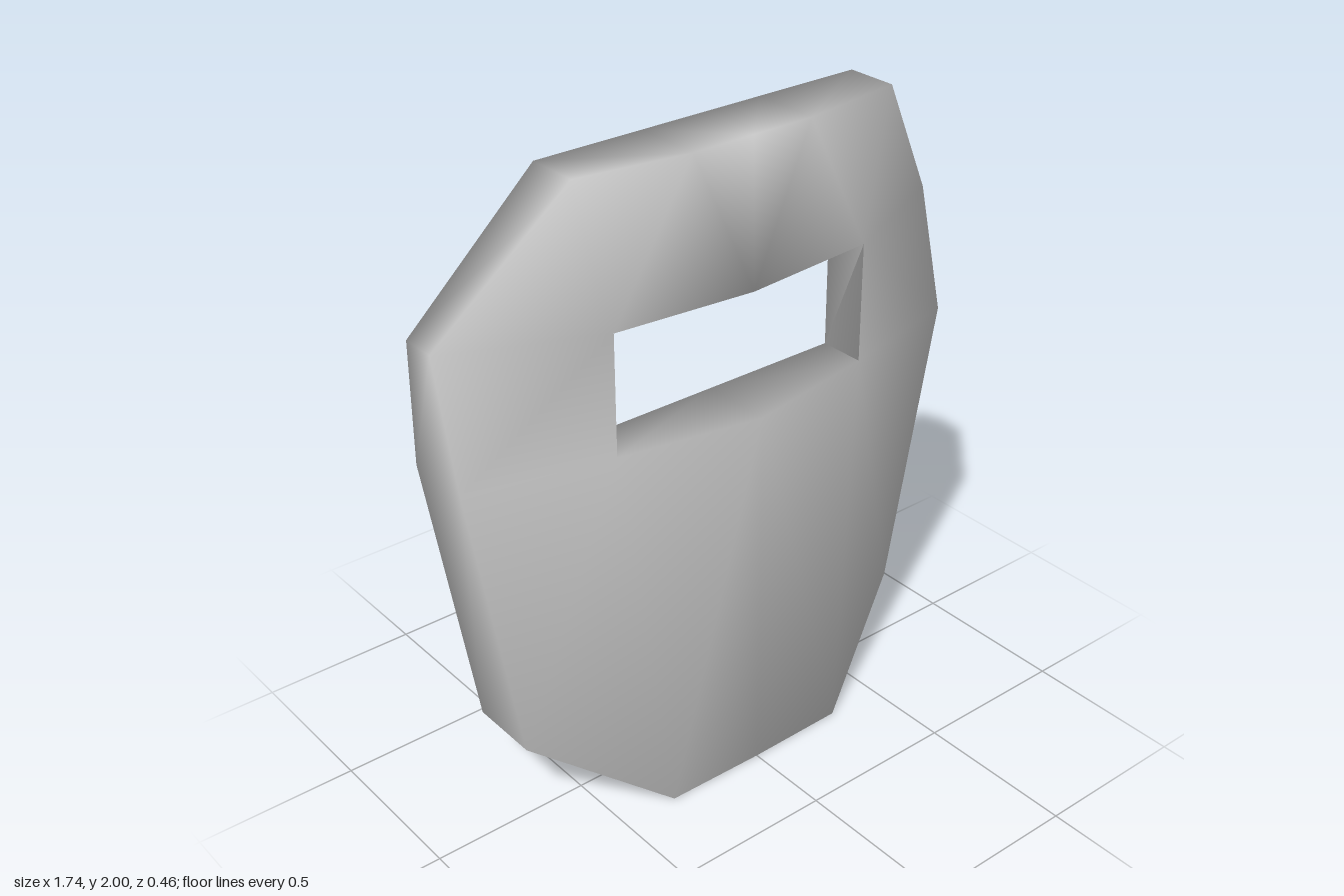
import * as THREE from 'three';
import { mergeVertices } from 'three/addons/utils/BufferGeometryUtils.js';

// Left half of the outline from top centre to bottom centre: [x, y, front z, back z]
const OUTER = [
  [0, 2, 0.18, -0.03], [0.2, 2, 0.18, -0.03], [0.54, 2, 0.13, -0.03],
  [0.87, 1.56, -0.045, -0.155], [0.87, 1.19, 0.05, -0.16],
  [0.71, 0.27, 0.04, -0.187], [0.32, 0, 0.225, -0.23], [0, 0, 0.23, -0.23],
];

// Eye slot points; each outline point is joined to the slot point of the same index
const SLOT_TOP = [0.44, 1.56, 0.15, 0.005];
const SLOT_LOW = [0.44, 1.19, 0.15, 0.005];
const SLOT = [
  [0, 1.56, 0.19, 0.005], SLOT_TOP, SLOT_TOP, SLOT_TOP,
  SLOT_LOW, SLOT_LOW, SLOT_LOW, [0, 1.19, 0.23, 0.005],
];

function buildPlate() {
  const positions = [];
  const front = (p) => [p[0], p[1], p[2]];
  const back = (p) => [p[0], p[1], p[3]];
  const mirror = ([x, y, z]) => [-x, y, z];

  // Adds a triangle and its mirror image
  const tri = (a, b, c) => {
    positions.push(...a, ...b, ...c, ...mirror(a), ...mirror(c), ...mirror(b));
  };
  const quad = (a, b, c, d) => {
    tri(a, b, c);
    tri(a, c, d);
  };

  for (let i = 0; i < OUTER.length - 1; i++) {
    const o = OUTER[i], p = OUTER[i + 1], h = SLOT[i], k = SLOT[i + 1];
    const last = i === OUTER.length - 2;

    // Front and back surfaces
    for (const side of [front, back]) {
      const face = (a, b, c) => (side === front
        ? tri(side(a), side(b), side(c))
        : tri(side(a), side(c), side(b)));
      if (last) {
        face(o, h, k);
        face(o, k, p);
      } else {
        face(o, h, p);
        if (h !== k) face(h, k, p);
      }
    }

    // Outer rim and slot wall
    quad(front(o), front(p), back(p), back(o));
    if (h !== k) quad(front(h), back(h), back(k), front(k));
  }

  const soup = new THREE.BufferGeometry();
  soup.setAttribute('position', new THREE.Float32BufferAttribute(positions, 3));
  const geometry = mergeVertices(soup, 1e-4);
  geometry.computeVertexNormals();
  return geometry;
}

export function createModel() {
  const group = new THREE.Group();
  group.name = 'faceShield';
  const grey = new THREE.MeshStandardMaterial({ color: 0xcccccc });
  grey.name = 'light grey';
  const plate = new THREE.Mesh(buildPlate(), grey);
  plate.name = 'shieldPlate';
  group.add(plate);
  return group;
}
